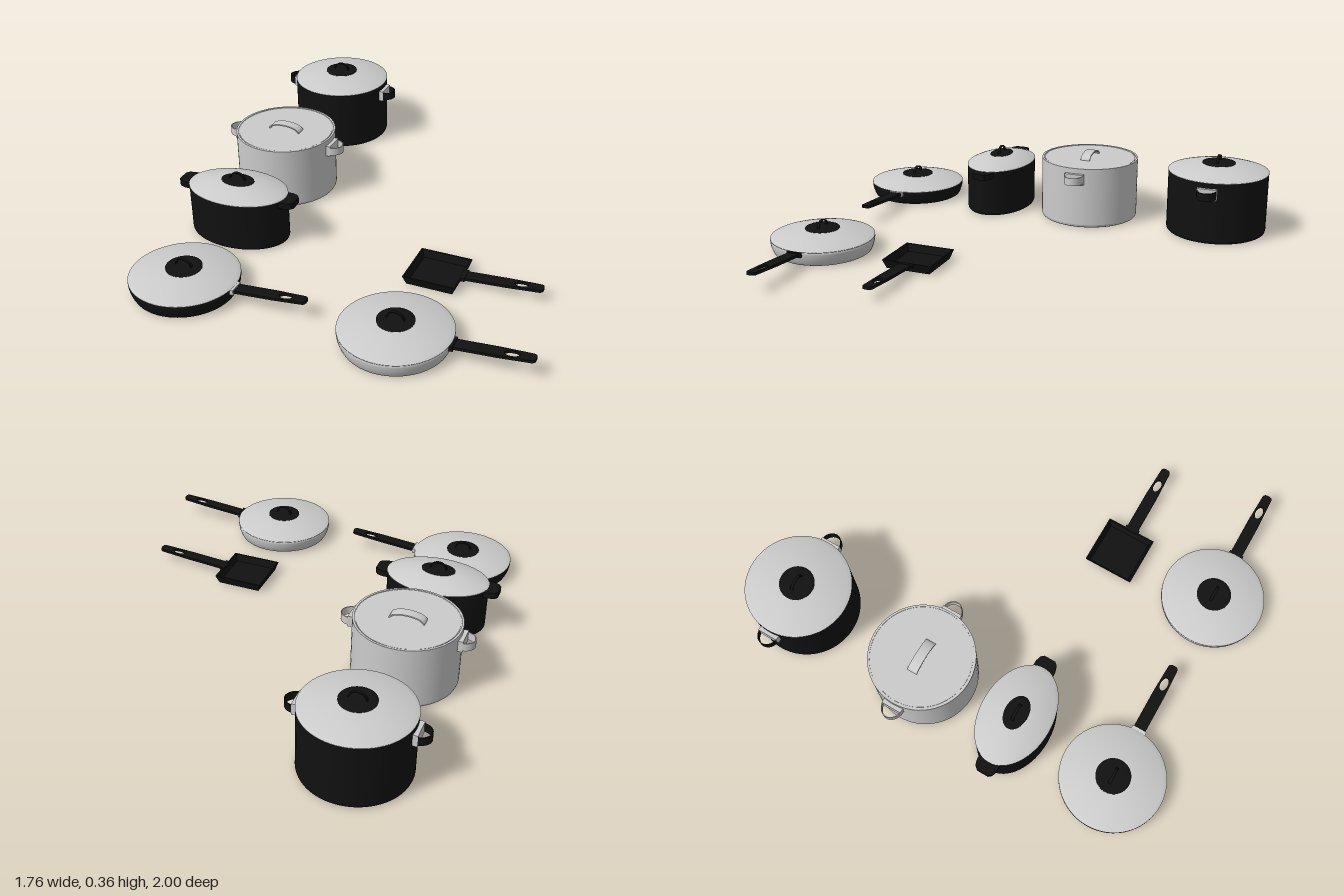
import * as THREE from 'three';

const grey = new THREE.MeshStandardMaterial({ color: 0xcccccc });
const black = new THREE.MeshStandardMaterial({ color: 0x111111 });
const R = 0.228;

function add(parent, name, geometry, material, x = 0, y = 0, z = 0) {
  const mesh = new THREE.Mesh(geometry, material);
  mesh.name = name;
  mesh.position.set(x, y, z);
  parent.add(mesh);
  return mesh;
}

function group(parent, name, x = 0, y = 0, z = 0) {
  const g = new THREE.Group();
  g.name = name;
  g.position.set(x, y, z);
  parent.add(g);
  return g;
}

const lathe = (pts) => new THREE.LatheGeometry(pts.map(([r, y]) => new THREE.Vector2(r, y)), 64);

// Straight pot wall with a small rounded foot
function potBody(h) {
  const pts = [[0, 0], [R - 0.012, 0], [R - 0.012, 0.001]];
  for (let i = 0; i <= 5; i++) {
    const a = (i / 5) * Math.PI / 2;
    pts.push([R - 0.012 + 0.01 * Math.sin(a), 0.012 - 0.011 * Math.cos(a)]);
  }
  pts.push([R - 0.001, 0.014], [R - 0.001, 0.015], [R - 0.001, h - 0.001], [R - 0.001, h], [R - 0.01, h],
    [R - 0.01, h - 0.001], [R - 0.01, h - 0.005], [0, h - 0.005]);
  return lathe(pts);
}

// Shallow pan wall, flaring upward
function panBody() {
  return lathe([[0, 0], [0.203, 0], [0.205, 0], [0.212, 0.004], [0.219, 0.018], [0.225, 0.036],
    [R, 0.054], [R, 0.064], [R - 0.006, 0.065], [0, 0.065]]);
}

// Strip bent into a half ring, width along the extrusion
function archGeometry(rx, ry, thick, width) {
  const s = new THREE.Shape();
  s.moveTo(rx, 0);
  s.absellipse(0, 0, rx, ry, 0, Math.PI, false, 0);
  s.lineTo(-rx + thick, 0);
  s.absellipse(0, 0, rx - thick, ry - thick, Math.PI, 0, true, 0);
  const g = new THREE.ExtrudeGeometry(s, { depth: width, bevelEnabled: false, curveSegments: 20 });
  return g.translate(0, 0, -width / 2);
}

// Domed lid with a dark disc and an upright ring grip
function domedLid(parent, y, h, depth = 1) {
  const lid = group(parent, 'lid', 0, y, 0);
  const dome = (r) => h * (1 - (r / R) ** 2);
  const profile = [[0, 0], [R, 0], [R, 0.003]];
  for (let i = 1; i <= 12; i++) {
    const r = R * (1 - i / 12);
    profile.push([r, 0.003 + dome(r)]);
  }
  add(lid, 'lidDome', lathe(profile), grey).scale.z = depth;
  const disc = [[0.075, dome(0.075)]];
  for (let i = 0; i <= 5; i++) {
    const r = 0.075 * (1 - i / 5);
    disc.push([r, 0.006 + dome(r)]);
  }
  add(lid, 'knobDisc', lathe(disc), black).scale.z = depth;
  add(lid, 'knobRing', archGeometry(0.038, 0.035, 0.004, 0.012), black, 0, h + 0.002, 0);
}

// Pair of half-ring side handles on mounting plates
function loopHandles(parent, material) {
  for (const side of [-1, 1]) {
    const handle = group(parent, 'sideHandle', side * (R + 0.006), 0.235, 0);
    add(handle, 'handlePlate', new THREE.BoxGeometry(0.03, 0.05, 0.09), grey, -side * 0.006, 0, 0);
    const loop = add(handle, 'handleLoop', archGeometry(0.045, 0.052, 0.004, 0.036), material);
    loop.rotation.set(Math.PI / 2, 0, -side * Math.PI / 2);
  }
}

// Long flat handle with a hanging hole, rising outward
function longHandle(parent, y, length, rise) {
  const w = 0.027, s = new THREE.Shape();
  s.moveTo(-0.01, -w);
  s.lineTo(length * 0.55, -w);
  s.lineTo(length - 0.02, -w + 0.005);
  s.quadraticCurveTo(length, -w + 0.005, length, -w + 0.022);
  s.lineTo(length, w - 0.022);
  s.quadraticCurveTo(length, w - 0.005, length - 0.02, w - 0.005);
  s.lineTo(length * 0.55, w);
  s.lineTo(-0.01, w);
  const hole = new THREE.Path();
  hole.absellipse(length - 0.092, 0, 0.03, 0.016, 0, Math.PI * 2, true);
  s.holes.push(hole);
  const g = new THREE.ExtrudeGeometry(s, { depth: 0.012, bevelEnabled: false, curveSegments: 16 });
  g.translate(0, 0, -0.006).rotateX(-Math.PI / 2);
  const handle = group(parent, 'longHandle', 0, y, 0);
  handle.rotation.z = Math.atan2(rise, length);
  add(handle, 'grip', g, black);
  return handle;
}

function pan(parent, name, x, material) {
  const p = group(parent, name, x, 0, 0.768);
  add(p, 'panBody', panBody(), material);
  domedLid(p, 0.065, 0.037);
  const handle = longHandle(p, 0.056, 0.325, 0.028);
  handle.position.x = R;
  const bracketMaterial = material === grey ? black : grey;
  add(handle, 'handleBracket', new THREE.BoxGeometry(0.022, 0.022, 0.066), bracketMaterial, 0.001, 0, 0);
}

export function createModel() {
  const model = new THREE.Group();
  model.name = 'cookwareSet';

  // Tall dark pot
  const tall = group(model, 'darkPot', -0.6, 0, -0.773);
  add(tall, 'potBody', potBody(0.283), black);
  domedLid(tall, 0.283, 0.037);
  loopHandles(tall, black);

  // Steel pot with a flat inset lid
  const steel = group(model, 'steelPot', -0.6, 0, -0.155);
  add(steel, 'potBody', potBody(0.285), grey);
  add(steel, 'flatLid', new THREE.CylinderGeometry(R - 0.014, R - 0.014, 0.006, 64), grey, 0, 0.28, 0);
  add(steel, 'lidHandle', archGeometry(0.076, 0.03, 0.006, 0.045), grey, 0, 0.282, 0);
  loopHandles(steel, grey);

  // Oval casserole with solid side grips
  const oval = group(model, 'ovalCasserole', -0.6, 0, 0.302);
  add(oval, 'casseroleBody', potBody(0.218), black).scale.z = 0.667;
  domedLid(oval, 0.218, 0.038, 0.667);
  const grip = new THREE.Shape([[0.19, -0.047], [0.24, -0.047], [0.265, -0.04], [0.277, -0.026],
    [0.277, 0.026], [0.265, 0.04], [0.24, 0.047], [0.19, 0.047]].map(([a, b]) => new THREE.Vector2(a, b)));
  for (const side of [0, Math.PI]) {
    const g = new THREE.ExtrudeGeometry(grip, { depth: 0.028, bevelEnabled: false });
    g.rotateX(-Math.PI / 2);
    add(oval, 'sideGrip', g, black, 0, 0.19, 0).rotation.y = side;
  }

  // Two lidded pans
  pan(model, 'darkPan', -0.6, black);
  pan(model, 'steelPan', 0.325, grey);

  // Square griddle: sloping four-sided tray
  const griddle = group(model, 'griddle', 0.322, 0, 0.302);
  const q = Math.SQRT2;
  const tray = new THREE.LatheGeometry([[0, 0], [0.1, 0], [0.114, 0.04], [0.108, 0.04], [0.096, 0.008], [0, 0.008]]
    .map(([r, y]) => new THREE.Vector2(r * q, y)), 4).rotateY(Math.PI / 4);
  const flat = tray.toNonIndexed();
  flat.computeVertexNormals();
  add(griddle, 'tray', flat, black);
  const handle = longHandle(griddle, 0.032, 0.338, 0.024);
  handle.position.x = 0.115;
  add(handle, 'handleBracket', new THREE.BoxGeometry(0.02, 0.016, 0.066), black, 0.002, 0, 0);

  return model;
}
